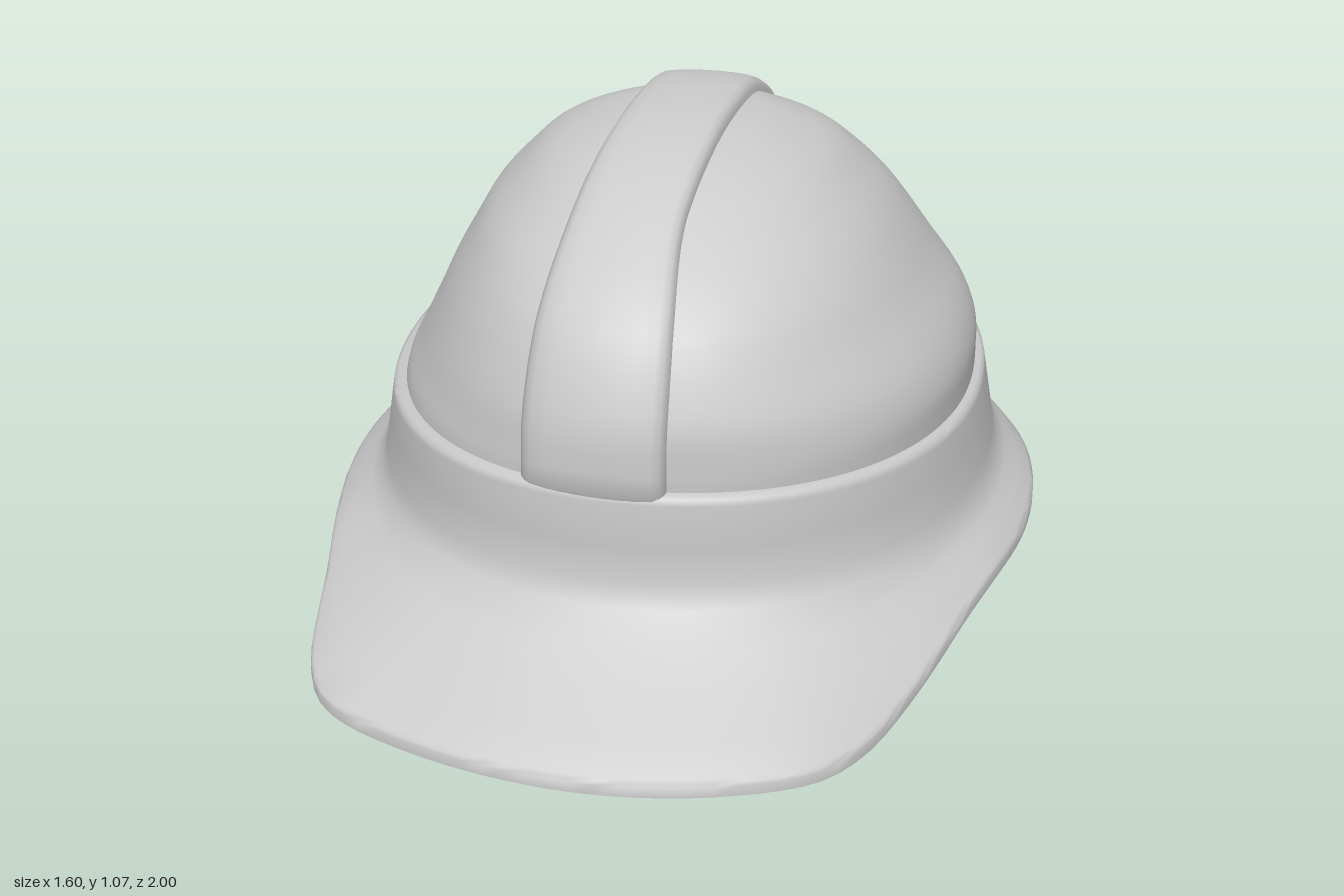
import * as THREE from 'three';
import { toCreasedNormals } from 'three/addons/utils/BufferGeometryUtils.js';

const SEG = 144;
const ZC = -0.17; // z of the crown, centre of every ring
const V = (x, y, z) => new THREE.Vector3(x, y, z);
const { lerp, smoothstep } = THREE.MathUtils;
const material = new THREE.MeshStandardMaterial({ color: 0xcccccc, side: THREE.DoubleSide });

// Skin a list of equally long point rows.
function loft(rows, closed) {
  const n = rows[0].length;
  const index = [];
  for (let i = 0; i < rows.length - 1; i++) {
    for (let j = 0; j < (closed ? n : n - 1); j++) {
      const k = (j + 1) % n;
      const a = i * n + j, b = i * n + k, c = (i + 1) * n + k, d = (i + 1) * n + j;
      index.push(a, b, c, a, c, d);
    }
  }
  const geometry = new THREE.BufferGeometry().setFromPoints(rows.flat());
  geometry.setIndex(index);
  return toCreasedNormals(geometry, 0.9);
}

function part(name, geometry) {
  const mesh = new THREE.Mesh(geometry, material);
  mesh.name = name;
  return mesh;
}

// Egg-shaped ring: left half width, front z, back z, right half width; y may be a function of z.
function ring(y, left, front, back, right = left) {
  return Array.from({ length: SEG }, (_, j) => {
    const t = (j / SEG) * Math.PI * 2;
    const s = Math.sin(t), c = Math.cos(t);
    const e = c > 0 ? 2 / 2.1 : 2 / 2.2; // slightly squarer than an ellipse
    const x = (s > 0 ? left : right) * Math.sign(s) * Math.abs(s) ** e;
    const z = ZC + (c > 0 ? front - ZC : ZC - back) * Math.sign(c) * Math.abs(c) ** e;
    return V(x, typeof y === 'function' ? y(z) : y, z);
  });
}

// Dome levels: y, left half width, front z, back z, right half width
const DOME = [
  [0.40, 0.648, 0.63, -0.825, 0.65], [0.47, 0.648, 0.635, -0.82, 0.635],
  [0.53, 0.645, 0.635, -0.805, 0.605], [0.60, 0.617, 0.63, -0.775, 0.57],
  [0.70, 0.545, 0.595, -0.725, 0.522], [0.77, 0.497, 0.555, -0.675, 0.482],
  [0.84, 0.445, 0.48, -0.61, 0.44], [0.91, 0.375, 0.37, -0.535, 0.375],
  [0.96, 0.315, 0.27, -0.46, 0.32], [1.00, 0.23, 0.15, -0.38, 0.24],
  [1.025, 0.15, 0.03, -0.31, 0.15], [1.04, 0, ZC, ZC, 0],
];

function domeRings(levels) {
  const sides = new THREE.CatmullRomCurve3(DOME.map(([y, l, , , r]) => V(l, y, r)));
  const ends = new THREE.CatmullRomCurve3(DOME.map(([, , f, b]) => V(f, b, 0)));
  return Array.from({ length: levels + 1 }, (_, i) => {
    const p = sides.getPoint(i / levels), q = ends.getPoint(i / levels);
    return ring(p.y, p.x, q.x, q.y, p.z);
  });
}

// Brim outline in plan (x, z), from the front anticlockwise
const OUTLINE = [
  [0, 1], [0.22, 0.97], [0.40, 0.89], [0.49, 0.79], [0.59, 0.59], [0.67, 0.39], [0.74, 0.2],
  [0.785, 0.02], [0.8, -0.18], [0.775, -0.38], [0.70, -0.57], [0.56, -0.77], [0.31, -0.945],
  [0, -1], [-0.31, -0.945], [-0.56, -0.77], [-0.70, -0.57], [-0.775, -0.38], [-0.8, -0.18],
  [-0.79, 0.02], [-0.76, 0.2], [-0.72, 0.4], [-0.665, 0.7], [-0.60, 0.8], [-0.42, 0.905],
  [-0.22, 0.975],
];
const brimSamples = new THREE.CatmullRomCurve3(OUTLINE.map(([x, z]) => V(x, 0, z)), true).getPoints(2000);
const brimAngles = brimSamples.map((p) => Math.atan2(p.x, p.z - ZC));

// Brim edge point at the same bearing as p; the front peak dips to the ground.
function brimEdge(p) {
  const angle = Math.atan2(p.x, p.z - ZC);
  let best = 0, gap = Infinity;
  brimAngles.forEach((a, i) => {
    const d = Math.abs(Math.atan2(Math.sin(a - angle), Math.cos(a - angle)));
    if (d < gap) { gap = d; best = i; }
  });
  const { x, z } = brimSamples[best];
  return V(x, 0.118 * (1 - smoothstep(z, 0.18, 0.85)) + 0.01 * smoothstep(z, 0.85, 1), z);
}

export function createModel() {
  const group = new THREE.Group();
  group.name = 'hardHat';

  // Rounded dome forming the two side panels
  const domeRows = domeRings(44);
  const dome = part('dome', loft(domeRows, true));
  group.add(dome);

  // Brim edge, sloping peak, headband and the ledge around the panels
  const foot = ring(0.23, 0.71, 0.675, -0.928);
  const edge = foot.map(brimEdge);
  const blend = (f, fy, lift) => foot.map((p, j) => V(
    lerp(p.x, edge[j].x, f), lerp(p.y, edge[j].y + lift, fy), lerp(p.z, edge[j].z, f)));
  const inset = (d, lift) => edge.map((e, j) => {
    const f = d / Math.hypot(e.x - foot[j].x, e.z - foot[j].z);
    return V(lerp(e.x, foot[j].x, f), e.y + lift, lerp(e.z, foot[j].z, f));
  });
  const lip = (z) => 0.442 + 0.037 * ((z + 0.1) / 0.75) ** 2;
  const rim = inset(0.042, 0.004);
  group.add(part('brimAndBand', loft([
    rim,
    edge,
    inset(0, 0.022),
    inset(0.003, 0.029),
    inset(0.01, 0.035),
    blend(0.75, 0.79, 0.032),
    blend(0.5, 0.56, 0.032),
    blend(0.22, 0.28, 0.032),
    foot,
    ring(0.28, 0.697, 0.658, -0.908),
    ring(0.36, 0.683, 0.655, -0.884),
    ring((z) => lip(z) - 0.02, 0.672, 0.66, -0.862),
    ring((z) => lip(z) - 0.006, 0.669, 0.657, -0.859),
    ring(lip, 0.66, 0.648, -0.85),
    ring((z) => lip(z) + 0.003, 0.625, 0.615, -0.8),
  ], true)));

  // Hollow inside, from the crown down to the rim
  const inner = domeRows.filter((_, i) => i % 2 === 0).reverse().map((row) => row.map((p) =>
    V(p.x * 0.95, p.y - 0.03, ZC + (p.z - ZC) * 0.95)));
  group.add(part('lining', loft([
    ...inner,
    ring(0.29, 0.645, 0.615, -0.855),
    ring(0.215, 0.672, 0.64, -0.885),
    rim,
  ], true)));

  // Raised, slightly skewed ridge laid over the dome from front to back
  dome.updateMatrixWorld();
  const ray = new THREE.Raycaster();
  const surface = (x, a) => {
    ray.set(V(x, 0.47, ZC), V(0, Math.sin(a), Math.cos(a)));
    return ray.intersectObject(dome)[0].point;
  };
  const flank = [[0, -0.012], [0.01, 0.012], [0.04, 0.023], [0.09, 0.029]];
  const section = [
    ...flank,
    ...[0.2, 0.3, 0.4, 0.5, 0.6, 0.7, 0.8].map((u) => [u, 0.03]),
    ...flank.map(([u, h]) => [1 - u, h]).reverse(),
  ];
  const ridgeRows = [];
  const steps = 64;
  for (let i = 0; i <= steps; i++) {
    const a = lerp(-0.04, Math.PI + 0.04, i / steps);
    const z = surface(0, a).z;
    const back = z + 0.85;
    const left = 0.18 - 0.1 * (z + 0.83) + 0.045 * smoothstep(z, 0.3, 0.66);
    const right = -0.07 - 0.055 * back - 0.035 * back * back;
    const sink = i === 0 || i === steps ? 0.3 : 1; // the ends dip into the band
    ridgeRows.push(section.map(([u, h]) => surface(lerp(right, left, u), a)
      .add(V(0, Math.sin(a) * h * sink, Math.cos(a) * h * sink))));
  }
  group.add(part('crownRidge', loft(ridgeRows, false)));

  return group;
}
